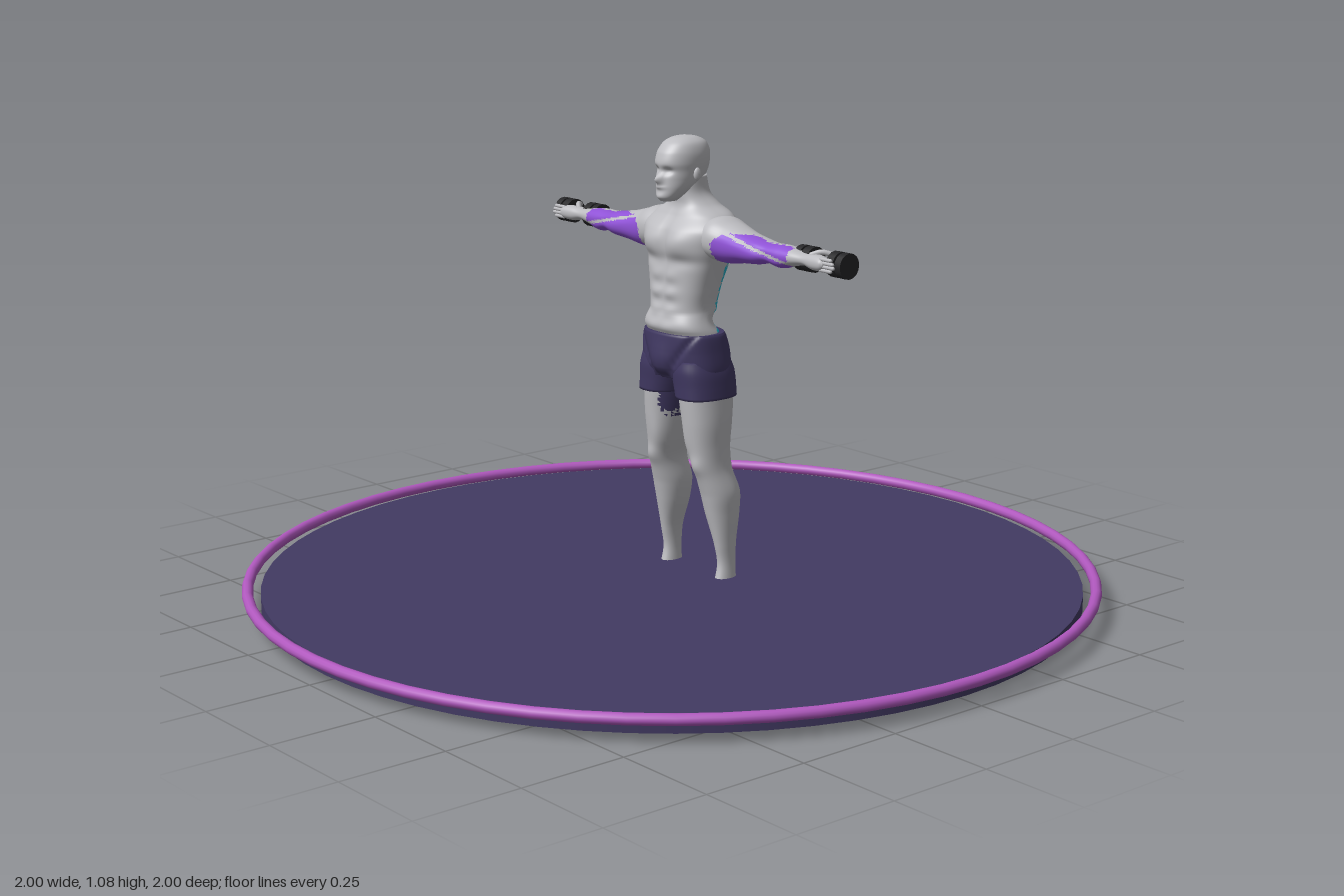
import * as THREE from 'three';

const mat = (name, color) => Object.assign(new THREE.MeshStandardMaterial({ color }), { name });
const gauss = (d, s) => Math.exp(-(d * d) / (2 * s * s));
const jag = (a, b) => Math.sin(a * 310) * 0.5 + Math.sin(b * 520 + a * 170) * 0.5;

// Axis orders: section rows are [t, u0, u1, v0, v1]
const AXES = {
  y: { map: (t, u, v) => [u, t, v], flip: false },
  x: { map: (t, u, v) => [t, u, v], flip: true },
  z: { map: (t, u, v) => [u, v, t], flip: true },
};

// Smooth skin through bounding sections, optionally warped, mirrored and split by colour
function loft(name, rows, materials, opt = {}) {
  const { axis = 'y', side = 1, steps = 48, segs = 40, power = 0.9, warp, pick } = opt;
  const { map, flip } = AXES[axis];
  const curves = [[0, 1, 2], [3, 4]].map((cols) => new THREE.CatmullRomCurve3(
    rows.map((r) => new THREE.Vector3(...[0, 1, 2].map((k) => (cols[k] === undefined ? 0 : r[cols[k]]))))));
  const pos = [];
  const push = (t, u, v) => {
    const p = new THREE.Vector3(...map(t, u, v));
    if (warp) warp(p);
    pos.push(p.x * side, p.y, p.z);
  };
  const bend = (c) => Math.sign(c) * Math.abs(c) ** power;
  const ends = [];
  for (let i = 0; i <= steps; i++) {
    const a = curves[0].getPoint(i / steps), b = curves[1].getPoint(i / steps);
    const cu = (a.y + a.z) / 2, cv = (b.x + b.y) / 2;
    for (let j = 0; j < segs; j++) {
      const w = (j / segs) * Math.PI * 2;
      push(a.x, cu + (a.z - a.y) / 2 * bend(Math.cos(w)), cv + (b.y - b.x) / 2 * bend(Math.sin(w)));
    }
    if (i === 0 || i === steps) ends.push([a.x, cu, cv]);
  }
  ends.forEach((e) => push(...e));
  const bins = [[], []];
  const inward = flip !== (side < 0);
  const tri = (a, b, c) => {
    const m = [0, 1, 2].map((k) => (pos[a * 3 + k] + pos[b * 3 + k] + pos[c * 3 + k]) / 3);
    const bin = pick && pick(m[0] * side, m[1], m[2]) ? 1 : 0;
    bins[bin].push(a, ...(inward ? [c, b] : [b, c]));
  };
  const first = (steps + 1) * segs;
  for (let j = 0; j < segs; j++) {
    const k = (j + 1) % segs;
    for (let i = 0; i < steps; i++) {
      const r = i * segs, q = r + segs;
      tri(r + j, q + j, r + k);
      tri(q + j, q + k, r + k);
    }
    tri(first, j, k);
    tri(first + 1, steps * segs + k, steps * segs + j);
  }
  const geo = new THREE.BufferGeometry();
  geo.setAttribute('position', new THREE.Float32BufferAttribute(pos, 3));
  geo.setIndex([...bins[0], ...bins[1]]);
  geo.addGroup(0, bins[0].length, 0);
  geo.addGroup(bins[0].length, bins[1].length, 1);
  geo.computeVertexNormals();
  const mesh = new THREE.Mesh(geo, pick ? materials : materials[0]);
  mesh.name = name;
  return mesh;
}

export function createModel() {
  const skin = mat('greySkin', 0xbcbcc0), purple = mat('armMusclePurple', 0x8f52d6);
  const cyan = mat('backMuscleCyan', 0x27b3cc), cloth = mat('shortsNavy', 0x3f3760);
  const floor = mat('platformNavy', 0x423a63), rim = mat('rimMagenta', 0xb058be);
  const iron = mat('dumbbellBlack', 0x262628);
  const model = new THREE.Group();
  const add = (geo, m, name, x = 0, y = 0, z = 0, parent = model) => {
    const mesh = new THREE.Mesh(geo, m);
    mesh.name = name;
    mesh.position.set(x, y, z);
    parent.add(mesh);
    return mesh;
  };

  // Platform and its ring
  add(new THREE.CylinderGeometry(0.957, 0.957, 0.036, 64), floor, 'platform', 0, 0.028, 0);
  add(new THREE.TorusGeometry(0.987, 0.013, 12, 64), rim, 'platformRing', 0, 0.051, 0).rotation.x = Math.PI / 2;

  // Torso and neck, with chest, stomach, shoulder blade and spine relief
  model.add(loft('torso', [
    [0.58, -0.095, 0.095, -0.105, 0.025], [0.63, -0.096, 0.096, -0.1, 0.03],
    [0.68, -0.081, 0.081, -0.1, 0.03], [0.73, -0.088, 0.088, -0.108, 0.028],
    [0.78, -0.101, 0.101, -0.122, 0.026], [0.83, -0.117, 0.117, -0.134, 0.026],
    [0.87, -0.128, 0.128, -0.138, 0.018], [0.9, -0.102, 0.102, -0.132, -0.002],
    [0.925, -0.06, 0.06, -0.115, -0.012], [0.95, -0.041, 0.041, -0.1, -0.01],
    [0.99, -0.038, 0.038, -0.09, -0.008],
  ], [skin, cyan], {
    steps: 96, segs: 80, power: 0.84,
    warp: (p) => {
      const x = Math.abs(p.x), y = p.y;
      if (p.z > -0.04) {
        p.z += 0.013 * gauss(x - 0.045, 0.028) * gauss(y - 0.845, 0.024);
        p.z -= 0.007 * gauss(x, 0.007) * gauss(y - 0.8, 0.07);
        p.z -= 0.006 * gauss(x - 0.045, 0.04) * gauss(y - 0.8, 0.01);
        p.z += 0.003 * Math.sin((y - 0.63) * 150) * gauss(x - 0.022, 0.016) * gauss(y - 0.71, 0.05);
      } else if (p.z < -0.06) {
        p.z += 0.012 * gauss(x, 0.011) * gauss(y - 0.76, 0.1);
        p.z -= 0.009 * gauss(x - 0.06, 0.03) * gauss(y - 0.85, 0.035);
        p.z -= 0.007 * gauss(x - 0.03, 0.014) * gauss(y - 0.68, 0.05);
      }
    },
    pick: (x, y, z) => {
      const a = Math.abs(x), n = jag(y, a);
      return y < 0.79 + 0.015 * n && z < -0.066 - (y - 0.63) * 0.08 + 0.007 * n
        && a > 0.019 + (y - 0.63) * 0.16 + 0.005 * n;
    },
  }));

  // Head with brow, eye sockets, nose and lips
  model.add(loft('head', [
    [0.935, -0.017, 0.017, -0.01, 0.029], [0.945, -0.026, 0.026, -0.025, 0.036],
    [0.965, -0.037, 0.037, -0.055, 0.036], [0.985, -0.043, 0.043, -0.085, 0.035],
    [1.005, -0.046, 0.046, -0.096, 0.034], [1.022, -0.048, 0.048, -0.1, 0.037],
    [1.045, -0.047, 0.047, -0.1, 0.031], [1.065, -0.04, 0.04, -0.09, 0.015],
    [1.076, -0.026, 0.026, -0.07, -0.005], [1.081, -0.005, 0.005, -0.042, -0.033],
  ], [skin], {
    steps: 64, segs: 64,
    warp: (p) => {
      if (p.z < 0) return;
      const x = Math.abs(p.x);
      p.z += 0.016 * gauss(x, 0.006) * gauss(p.y - 0.986, 0.009);
      p.z -= 0.009 * gauss(x - 0.018, 0.008) * gauss(p.y - 1.005, 0.006);
      p.z += 0.004 * gauss(x, 0.01) * (gauss(p.y - 0.967, 0.003) + gauss(p.y - 0.945, 0.006));
    },
  }));

  // Shorts: hips with a front pouch and rounded seat
  model.add(loft('shortsHips', [
    [0.525, -0.112, 0.112, -0.118, 0.022], [0.55, -0.115, 0.115, -0.122, 0.032],
    [0.59, -0.111, 0.111, -0.121, 0.036], [0.625, -0.106, 0.106, -0.112, 0.037],
    [0.631, -0.103, 0.103, -0.108, 0.035],
  ], [cloth], {
    segs: 64, power: 0.8,
    warp: (p) => {
      const x = Math.abs(p.x);
      if (p.z > 0) p.z += 0.014 * gauss(x, 0.025) * gauss(p.y - 0.565, 0.03)
        - 0.006 * gauss(x - 0.02 - (p.y - 0.53) * 0.7, 0.006);
      else if (p.z < -0.05) p.z += 0.012 * gauss(x, 0.01) - 0.006 * gauss(x - 0.05, 0.025) * gauss(p.y - 0.56, 0.03);
    },
  }));

  for (const side of [1, -1]) {
    const tag = side > 0 ? 'left' : 'right';

    // Shorts leg
    model.add(loft(tag + 'ShortsLeg', [
      [0.481, 0.01, 0.121, -0.124, 0.027], [0.51, 0.003, 0.119, -0.124, 0.028],
      [0.54, -0.002, 0.116, -0.122, 0.03], [0.57, 0, 0.108, -0.112, 0.026],
    ], [cloth], { side, steps: 16, power: 0.85 }));

    // Leg with thigh, knee and calf; a scrap of cloth shows on the inner thigh
    model.add(loft(tag + 'Leg', [
      [0.03, 0.08, 0.117, -0.11, -0.05], [0.08, 0.082, 0.114, -0.108, -0.06],
      [0.13, 0.077, 0.116, -0.11, -0.052], [0.2, 0.057, 0.121, -0.122, -0.036],
      [0.25, 0.049, 0.123, -0.125, -0.025], [0.31, 0.05, 0.112, -0.107, -0.007],
      [0.36, 0.036, 0.111, -0.105, 0.003], [0.42, 0.022, 0.114, -0.112, 0.012],
      [0.48, 0.012, 0.113, -0.118, 0.018], [0.53, 0.008, 0.112, -0.115, 0.02],
    ], [skin, cloth], {
      side, steps: 80,
      warp: (p) => {
        if (p.z > -0.05) p.z += 0.006 * gauss(p.x - 0.08, 0.016) * gauss(p.y - 0.32, 0.014)
          + 0.005 * gauss(p.x - 0.045, 0.014) * gauss(p.y - 0.37, 0.03);
        else p.z += 0.005 * gauss(p.x - 0.085, 0.008) * gauss(p.y - 0.25, 0.04);
      },
      pick: (x, y, z) => x < 0.036 + 0.004 * jag(z, y) && y > 0.43 + 0.02 * jag(y, z),
    }));

    // Foot, turned outward, with a raised arch
    model.add(loft(tag + 'Foot', [
      [-0.112, 0.09, 0.104, 0.008, 0.03], [-0.1, 0.08, 0.114, 0, 0.043],
      [-0.07, 0.08, 0.118, 0.002, 0.045], [-0.03, 0.088, 0.13, 0.009, 0.044],
      [0.01, 0.095, 0.152, 0, 0.038], [0.035, 0.108, 0.156, 0, 0.03], [0.05, 0.122, 0.146, 0.008, 0.02],
    ], [skin], { axis: 'z', side, steps: 28, segs: 24, power: 0.75 }));

    // Ear
    add(new THREE.SphereGeometry(1, 12, 10), skin, tag + 'Ear', side * 0.047, 0.996, -0.036).scale.set(0.006, 0.015, 0.01);

    // Arm from shoulder to palm, purple along its front
    model.add(loft(tag + 'Arm', [
      [0.06, 0.815, 0.892, -0.125, -0.005], [0.11, 0.803, 0.904, -0.126, -0.002],
      [0.15, 0.802, 0.893, -0.119, -0.009], [0.2, 0.81, 0.88, -0.107, -0.012],
      [0.25, 0.815, 0.872, -0.1, -0.014], [0.285, 0.822, 0.867, -0.095, -0.022],
      [0.32, 0.816, 0.868, -0.095, -0.025], [0.36, 0.826, 0.864, -0.09, -0.03],
      [0.395, 0.832, 0.859, -0.082, -0.036], [0.425, 0.827, 0.862, -0.075, -0.032],
      [0.455, 0.83, 0.86, -0.066, -0.03], [0.465, 0.838, 0.852, -0.058, -0.036],
    ], [skin, purple], {
      axis: 'x', side, steps: 96, segs: 44,
      warp: (p) => {
        if (p.z > -0.06) p.z -= 0.004 * gauss(p.y - 0.91 + 0.22 * p.x, 0.005) * gauss(p.x - 0.23, 0.06);
      },
      pick: (x, y, z) => {
        const n = jag(x, y);
        return x > 0.125 + Math.max(0, y - 0.85) * 1.2 + 0.006 * n && x < 0.355 + 0.012 * n
          && z > -0.056 + 0.007 * n && y < 0.877 && Math.abs(y - 0.91 + 0.22 * x) > 0.0035;
      },
    }));

    // Fingers and thumb
    for (let i = 0; i < 4; i++) {
      const len = [0.03, 0.038, 0.036, 0.03][i];
      add(new THREE.CapsuleGeometry(0.0045, len, 4, 8), skin, tag + 'Finger', side * (0.455 + len / 2), 0.833 + i * 0.008, -0.04)
        .rotation.z = Math.PI / 2;
    }
    const thumb = new THREE.CatmullRomCurve3([[0.41, 0.858, -0.05], [0.43, 0.866, -0.065], [0.448, 0.86, -0.085]]
      .map(([x, y, z]) => new THREE.Vector3(x * side, y, z)));
    add(new THREE.TubeGeometry(thumb, 10, 0.006, 8), skin, tag + 'Thumb');

    // Dumbbell: bar with two stepped weights
    const bell = new THREE.Group();
    bell.name = tag + 'Dumbbell';
    bell.position.set(side * 0.429, 0.843, -0.078);
    bell.rotation.z = Math.PI / 2;
    add(new THREE.CylinderGeometry(0.009, 0.009, 0.12, 12), iron, 'bar', 0, 0, 0, bell);
    for (const end of [1, -1]) {
      add(new THREE.CylinderGeometry(0.029, 0.029, 0.022, 16), iron, 'innerWeight', 0, end * 0.041, 0, bell);
      add(new THREE.CylinderGeometry(0.02, 0.02, 0.008, 16), iron, 'weightNeck', 0, end * 0.055, 0, bell);
      add(new THREE.CylinderGeometry(0.029, 0.029, 0.018, 16), iron, 'outerWeight', 0, end * 0.067, 0, bell);
    }
    model.add(bell);
  }
  return model;
}
